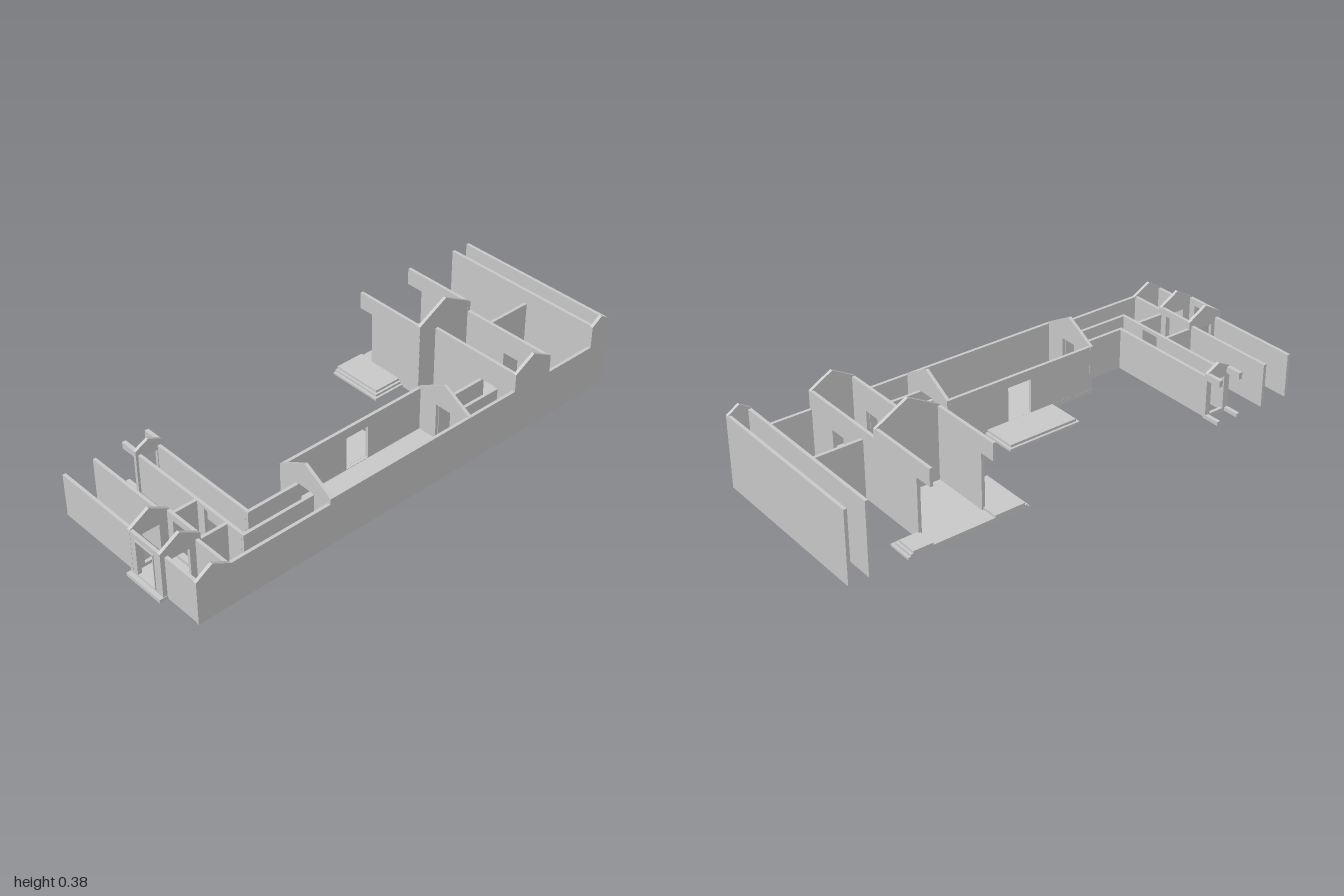
import * as THREE from 'three';

const material = new THREE.MeshStandardMaterial({ color: 0xcccccc, flatShading: true });
const T = 0.013; // wall thickness

export function createModel() {
  const model = new THREE.Group();
  const add = (name, geometry) => {
    const mesh = new THREE.Mesh(geometry, material);
    mesh.name = name;
    model.add(mesh);
  };

  // Upright wall cut from an outline; axis 'z' runs along x at a fixed z, axis 'x' runs along z.
  // Doors are [start, end, bottom, top].
  const wall = (name, axis, at, outline, doors = []) => {
    const shape = new THREE.Shape(outline.map(([u, v]) => new THREE.Vector2(u, v)));
    for (const [a, b, lo, hi] of doors) {
      shape.holes.push(new THREE.Path([[a, lo], [a, hi], [b, hi], [b, lo]]
        .map(([u, v]) => new THREE.Vector2(u, v))));
    }
    const g = new THREE.ExtrudeGeometry(shape, { depth: T, bevelEnabled: false });
    if (axis === 'x') g.rotateY(-Math.PI / 2).translate(at + T / 2, 0, 0);
    else g.translate(0, 0, at - T / 2);
    add(name, g);
  };
  const flat = (a, b, h) => [[a, 0], [b, 0], [b, h], [a, h]];
  const gable = (a, b, eaves, peak) => [[a, 0], [b, 0], [b, eaves], [(a + b) / 2, peak], [a, eaves]];
  // Wall along x whose open end at x = a has an opening up to the lintel
  const openEnd = (a, b, h, jamb, sill, lintel) => [
    [a, 0], [b, 0], [b, h], [a, h], [a, lintel], [jamb, lintel], [jamb, sill], [a, sill]];
  const slab = (name, x0, x1, z0, z1, y0, y1) => {
    const g = new THREE.BoxGeometry(x1 - x0, y1 - y0, z1 - z0);
    add(name, g.translate((x0 + x1) / 2, (y0 + y1) / 2, (z0 + z1) / 2));
  };

  const W = -0.365, E = 0.365;

  // Long outer side wall with a gable over each range
  wall('outerWall', 'x', E - T / 2, [
    [0.968, 0], [0.968, 0.178], [0.9, 0.22], [0.825, 0.178], [0.4, 0.178], [0.4, 0.2],
    [-0.492, 0.2], [-0.492, 0.273], [-0.584, 0.325], [-0.676, 0.273], [-0.676, 0.2],
    [-0.905, 0.2], [-0.905, 0.29], [-0.952, 0.32], [-1, 0.29], [-1, 0]]);

  // Rear range and the wall that joins it to the main range
  wall('rearOuterWall', 'z', -1 + T / 2, flat(W, E - T, 0.29));
  wall('rearInnerWall', 'z', -0.915, flat(W, E - T, 0.29));
  wall('rearLinkWall', 'x', 0.03, flat(-0.909, -0.676, 0.235));

  // Tall central hall, open on the centre line
  wall('tallHallFrontWall', 'z', -0.418, openEnd(W, -0.043, 0.312, -0.3, 0.015, 0.243));
  wall('tallHallBackWall', 'z', -0.67, openEnd(W, -0.043, 0.312, -0.29, 0.015, 0.243));
  wall('tallHallGable', 'x', -0.05, gable(-0.676, -0.411, 0.312, 0.385), [[-0.62, -0.55, 0.02, 0.17]]);
  slab('tallHallFloor', W, -0.043, -0.676, -0.411, 0, 0.018);

  // Lower side range
  wall('sideRangeFrontWall', 'z', -0.499, flat(-0.043, E - T, 0.273), [[0.2, 0.27, 0.02, 0.17]]);
  wall('sideRangeBackWall', 'z', -0.67, flat(-0.043, E - T, 0.273), [[0.15, 0.22, 0.02, 0.18]]);
  slab('sideRangeFloor', -0.043, E - T, -0.676, -0.492, 0.004, 0.018);
  slab('sideDoorStep', 0.12, 0.25, -0.702, -0.676, 0, 0.015);

  // Steps before the hall doors, each tier shorter than the one below
  for (let i = 0; i < 3; i++) {
    const d = i * 0.01;
    slab('frontSteps', W, -0.128 - d, -0.418, -0.272 - d, i * 0.009, i * 0.009 + 0.009);
    slab('backSteps', W, -0.263 - d, -0.77 + d, -0.67, i * 0.009, i * 0.009 + 0.009);
  }

  // Side hall with two gabled ends and a terrace
  for (const z of [-0.265, 0.393]) {
    wall('sideHallGable', 'z', z, gable(0.106, E, 0.2, 0.273), [[0.2, 0.27, 0.02, 0.17]]);
  }
  wall('sideHallInnerWall', 'x', 0.113, flat(-0.258, 0.386, 0.2), [[0, 0.105, 0.02, 0.16]]);
  slab('sideHallFloor', 0.106, E - T, -0.271, 0.4, 0.004, 0.018);
  slab('terraceLower', -0.042, 0.106, -0.106, 0.216, 0, 0.01);
  slab('terraceUpper', -0.032, 0.106, -0.096, 0.206, 0.01, 0.02);

  // Corridor from the side range to the side hall
  for (const x of [0.196, 0.275]) wall('rearCorridorWall', 'x', x, flat(-0.492, -0.271, 0.168));

  // Corridor turning from the side hall toward the centre line
  const H = 0.168;
  wall('corridorInnerSide', 'x', 0.196, flat(0.4, 0.622, H));
  wall('corridorOuterSide', 'x', 0.275, flat(0.4, 0.706, H));
  wall('corridorInnerWall', 'z', 0.616, flat(-0.287, 0.19, H));
  wall('corridorOuterWall', 'z', 0.7, flat(-0.287, 0.269, H), [[0.075, 0.155, 0.02, 0.155]]);
  wall('corridorEndGable', 'x', -0.294, gable(0.602, 0.716, 0.187, 0.216), [[0.625, 0.69, 0.015, 0.15]]);
  for (const z of [0.61, 0.708]) {
    slab('pavilionLintel', W, -0.3, z - 0.008, z + 0.008, 0.16, 0.187);
    slab('pavilionSill', W, -0.3, z - 0.008, z + 0.008, 0, 0.015);
  }

  // Front range, left open where the porch stands
  const frontHeight = 0.178;
  for (const z of [0.834, 0.959]) {
    wall('frontRangeWall', 'z', z, flat(W, 0.026, frontHeight));
    wall('frontRangeWall', 'z', z, flat(0.2, E - T, frontHeight));
  }

  // Entrance porch with gabled sides, and the passage behind it
  const porchDoor = [[0.07, 0.16, 0.027, 0.17]];
  for (const z of [0.825, 0.976]) {
    wall('porchDoorWall', 'z', z, flat(0.04, 0.187, 0.197), porchDoor);
  }
  for (const x of [0.033, 0.194]) {
    wall('porchSideGable', 'x', x, gable(0.818, 0.983, 0.197, 0.245), [[0.865, 0.935, 0.027, 0.155]]);
    wall('passageWall', 'x', x, flat(0.706, 0.818, H));
  }
  // Raised frame around the front door
  const frame = new THREE.Shape([[0.066, 0.023], [0.164, 0.023], [0.164, 0.174], [0.066, 0.174]]
    .map(([x, y]) => new THREE.Vector2(x, y)));
  frame.holes.push(new THREE.Path([[0.07, 0.027], [0.07, 0.17], [0.16, 0.17], [0.16, 0.027]]
    .map(([x, y]) => new THREE.Vector2(x, y))));
  add('porchDoorFrame', new THREE.ExtrudeGeometry(frame, { depth: 0.004, bevelEnabled: false })
    .translate(0, 0, 0.982));
  slab('porchFloor', 0.023, 0.203, 0.8, 1, 0, 0.014);

  return model;
}
